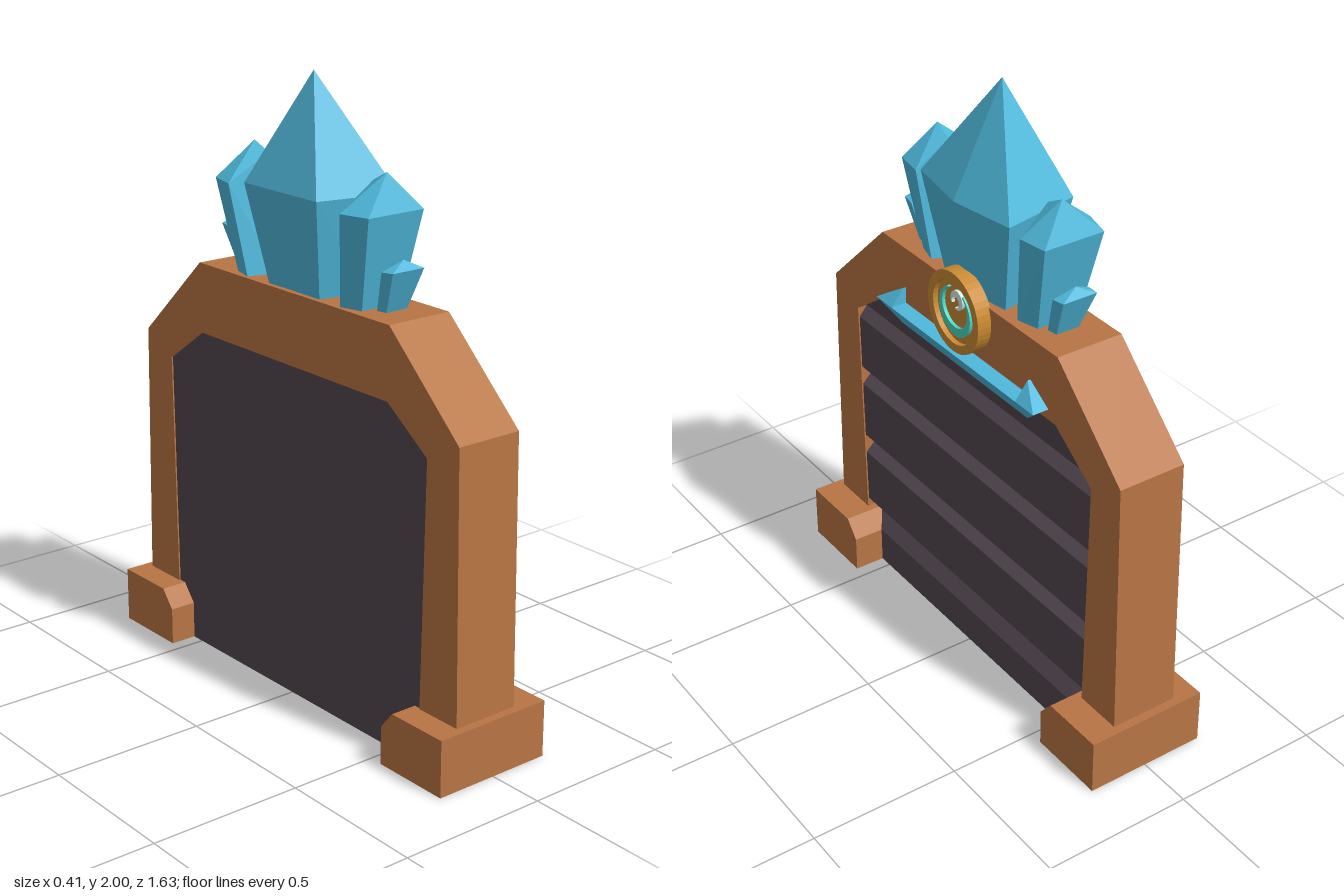
import * as THREE from 'three';
import { ConvexGeometry } from 'three/addons/geometries/ConvexGeometry.js';

const mat = (color) => new THREE.MeshStandardMaterial({ color, flatShading: true });
const WOOD = mat(0xb87544), SLATE = mat(0x52464f), CRYSTAL = mat(0x4fb9dc);
const GOLD = mat(0xc98a32), TEAL = mat(0x4fd6c0), PALE = mat(0xd5ece6);

const polygon = (pts) => new THREE.Shape(pts.map(([x, y]) => new THREE.Vector2(x, y)));

// Flat outline in (width, height), extruded from depth z0 to z1
function slab(name, shape, z0, z1, material) {
  const geo = new THREE.ExtrudeGeometry(shape, { depth: z1 - z0, bevelEnabled: false, curveSegments: 20 });
  geo.translate(0, 0, z0);
  const mesh = new THREE.Mesh(geo, material);
  mesh.name = name;
  return mesh;
}

// Faceted solid around a few corners, optionally mirrored across the width
function facet(name, pts, side = 1) {
  const mesh = new THREE.Mesh(
    new ConvexGeometry(pts.map(([x, y, z]) => new THREE.Vector3(x * side, y, z))), CRYSTAL);
  mesh.name = name;
  return mesh;
}

// Crescent between two offset circles
function crescent(r, innerR, tilt, gap) {
  const pts = [], n = 28, a0 = tilt + gap, a1 = tilt + Math.PI * 2 - gap;
  const off = (r - innerR) * 0.8;
  for (let i = 0; i <= n; i++) {
    const a = a0 + (a1 - a0) * i / n;
    pts.push([r * Math.cos(a), r * Math.sin(a)]);
  }
  for (let i = n; i >= 0; i--) {
    const a = a0 + (a1 - a0) * i / n;
    pts.push([innerR * Math.cos(a) + off * Math.cos(tilt), innerR * Math.sin(a) + off * Math.sin(tilt)]);
  }
  return polygon(pts);
}

export function createModel() {
  // Built with width along x and the decorated face toward z, then turned to face +x
  const gate = new THREE.Group();
  gate.name = 'gate';

  // Arched wooden frame
  const half = [[0.785, 0.15], [0.77, 1.05], [0.465, 1.337]];
  const inner = [[0.46, 1.105], [0.636, 0.98], [0.62, 0.15]];
  const flip = (pts) => pts.map(([x, y]) => [-x, y]).reverse();
  gate.add(slab('frame', polygon([...half, ...flip(half), ...flip(inner), ...inner.slice().reverse()].length
    ? [...half, ...flip(half), ...flip(inner), ...inner] : []), -0.125, 0.105, WOOD));

  // Feet with a chamfered inner corner
  for (const s of [-1, 1]) {
    const foot = [[0.545, 0], [0.813, 0], [0.813, 0.185], [0.595, 0.185], [0.545, 0.125]];
    gate.add(slab(s < 0 ? 'leftFoot' : 'rightFoot', polygon(foot.map(([x, y]) => [x * s, y])), -0.21, 0.205, WOOD));
  }

  // Slatted door: notched side profile (depth, height) run across the opening
  const profile = [[-0.12, 0], [0.1, 0], [0.1, 0.125]];
  for (const [low, mid, top] of [[0.125, 0.187, 0.217], [0.41, 0.445, 0.48], [0.685, 0.722, 0.752]]) {
    profile.push([0.1, low], [0.062, mid], [0.1, top]);
  }
  profile.splice(2, 1);
  profile.push([0.1, 0.945], [0.07, 0.98], [0.1, 1.12], [-0.12, 1.12]);
  const door = slab('door', polygon(profile), -0.64, 0.64, SLATE);
  door.rotation.y = -Math.PI / 2;
  gate.add(door);

  // Large central crystal
  const girdle = [[-0.175, -0.16], [0.175, -0.16], [0.23, 0.108], [0, 0.145], [-0.23, 0.108]];
  gate.add(facet('mainCrystal', [
    ...girdle.map(([x, z]) => [x * 0.69, 1.32, z * 0.65]),
    ...girdle.map(([x, z]) => [x, 1.65, z]),
    [0.005, 2, -0.025],
  ]));

  // Leaning side crystals, mirrored
  for (const s of [-1, 1]) {
    gate.add(facet('sideCrystal', [
      [0.3, 1.32, -0.09], [0.3, 1.32, 0.055], [0.225, 1.32, 0.075], [0.195, 1.32, -0.01], [0.225, 1.32, -0.11],
      [0.37, 1.63, -0.125], [0.37, 1.63, 0.085], [0.27, 1.63, 0.1], [0.254, 1.71, -0.01], [0.27, 1.63, -0.15],
      [0.317, 1.743, -0.012],
    ], s));
    gate.add(facet('smallCrystal', [
      [0.355, 1.32, -0.045], [0.355, 1.32, 0.03], [0.32, 1.32, 0.035], [0.32, 1.32, -0.05],
      [0.415, 1.468, -0.07], [0.415, 1.468, 0.05], [0.37, 1.465, 0.055], [0.37, 1.465, -0.075],
      [0.392, 1.497, -0.01],
    ], s));
  }

  // Crystal bar over the door, with raised wing tips
  const bar = [];
  for (const s of [-1, 1]) {
    bar.push([s * 0.425, 1.14, 0.1], [s * 0.425, 1.14, 0.16], [s * 0.34, 1.07, 0.1], [s * 0.34, 1.07, 0.118]);
    gate.add(facet('barTip', [
      [0.425, 1.14, 0.1], [0.425, 1.14, 0.16], [0.335, 1.14, 0.1], [0.335, 1.14, 0.16],
      [0.335, 1.197, 0.1], [0.335, 1.197, 0.115],
    ], s));
  }
  gate.add(facet('crystalBar', bar));

  // Round medallion: raised rim, recessed disc and a plain curl ornament
  const medallion = new THREE.Group();
  medallion.name = 'medallion';
  medallion.position.y = 1.28;
  const rim = new THREE.Shape().absarc(0, 0, 0.135, 0, Math.PI * 2);
  rim.holes.push(new THREE.Path().absarc(0, 0, 0.106, 0, Math.PI * 2, true));
  const disc = new THREE.Shape().absarc(0, 0, 0.11, 0, Math.PI * 2);
  const paleCurl = slab('paleCurl', crescent(0.032, 0.019, -2.2, 0.5), 0.13, 0.146, PALE);
  paleCurl.position.set(0.012, 0.044, 0);
  medallion.add(
    slab('medallionRim', rim, 0.1, 0.152, GOLD),
    slab('medallionDisc', disc, 0.1, 0.135, GOLD),
    slab('tealCurl', crescent(0.083, 0.066, 1.5, 0.55), 0.13, 0.146, TEAL),
    paleCurl);
  gate.add(medallion);

  gate.rotation.y = Math.PI / 2;
  const model = new THREE.Group();
  model.name = 'crystalGate';
  model.add(gate);
  return model;
}
